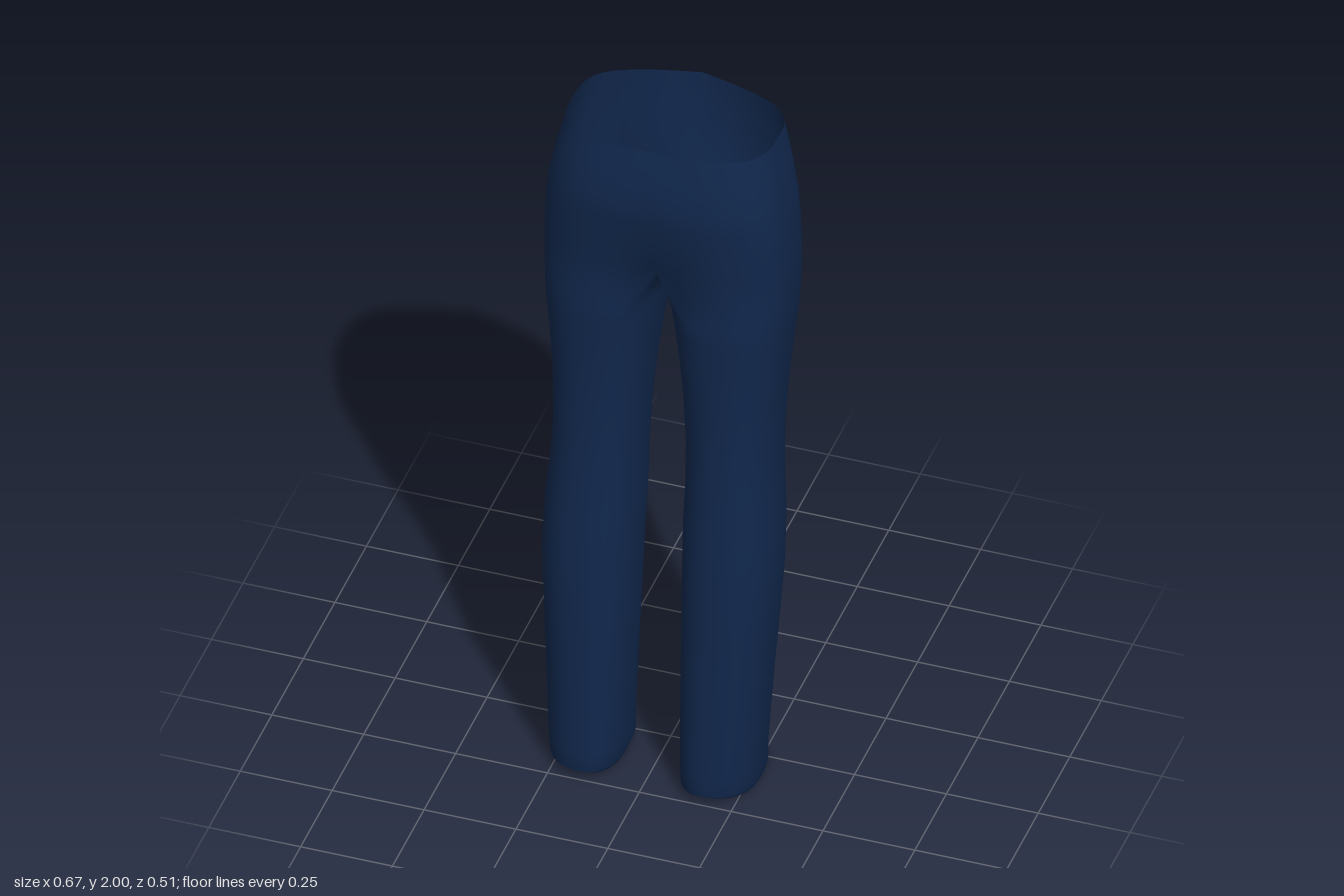
import * as THREE from 'three';
import { mergeGeometries, mergeVertices } from 'three/addons/utils/BufferGeometryUtils.js';

const OUT = 28; // segments around the outer arc, from front seam to back seam
const INN = 12; // segments around the inside of the leg
const cloth = new THREE.MeshStandardMaterial({ color: 0x10264a, side: THREE.DoubleSide });
cloth.name = 'navyCloth';

const spow = (v, p) => Math.sign(v) * Math.pow(Math.abs(v), p);

// Leg sections: height, outer x, inner x, front z, back z, skew of the front
const LEGS = [
  [0.0, 0.275, 0.09, 0.24, -0.068, 0.15],
  [0.025, 0.281, 0.08, 0.25, -0.06, 0.15],
  [0.08, 0.284, 0.077, 0.247, -0.046, 0.12],
  [0.3, 0.295, 0.073, 0.236, -0.066, 0.08],
  [0.5, 0.307, 0.069, 0.223, -0.086, 0.04],
  [0.65, 0.315, 0.066, 0.214, -0.1, 0],
  [0.8, 0.313, 0.063, 0.197, -0.116, 0],
  [0.92, 0.303, 0.065, 0.182, -0.13, 0],
  [1.05, 0.299, 0.062, 0.17, -0.146, 0],
  [1.2, 0.305, 0.05, 0.163, -0.166, 0],
  [1.32, 0.316, 0.035, 0.162, -0.18, 0],
  [1.42, 0.327, 0.02, 0.163, -0.192, 0],
  [1.48, 0.331, 0.009, 0.164, -0.198, 0],
];

// Hip sections: height, outer x, front z, back z, seam offset in front, seam offset behind
const HIPS = [
  [1.55, 0.333, 0.166, -0.204, -0.055, 0.08],
  [1.63, 0.332, 0.17, -0.207, -0.03, 0.055],
  [1.72, 0.328, 0.174, -0.21, -0.012, 0.025],
  [1.79, 0.321, 0.177, -0.212, -0.002, 0],
  [1.85, 0.311, 0.178, -0.213, 0, -0.017],
  [1.92, 0.297, 0.161, -0.215, 0, -0.028],
  [1.96, 0.287, 0.15, -0.215, 0, -0.034],
  [2.0, 0.278, 0.139, -0.215, 0, -0.039],
];

// Closed leg ring: outer arc from front to back, then the inner arc forward again
function legRing([y, outer, inner, front, back, skew]) {
  const cx = (outer + inner) / 2, rx = (outer - inner) / 2;
  const cz = (front + back) / 2, rz = (front - back) / 2;
  const ring = [];
  for (let k = 0; k <= OUT + INN; k++) {
    const deg = k <= OUT ? 130 - 260 * k / OUT : -130 - 100 * (k - OUT) / INN;
    const a = deg * Math.PI / 180;
    const x = cx + rx * spow(Math.cos(a), 0.84);
    const s = spow(Math.sin(a), 0.84);
    const lift = y < 0.03 ? 0.02 * Math.max(0, s) ** 2 * (1 - y / 0.03) : 0;
    ring.push([x, y + lift, cz + rz * s - skew * (x - cx) * Math.max(0, s)]);
  }
  return ring;
}

// Open hip ring: from the front centre seam round the side to the back seam
function hipRing([y, outer, front, back, seamFront, seamBack], index) {
  const cz = (front + back) / 2, rz = (front - back) / 2;
  const ring = [];
  for (let k = 0; k <= OUT; k++) {
    const a = Math.PI / 2 - Math.PI * k / OUT;
    const c = Math.max(0, Math.cos(a));
    const x = k === 0 || k === OUT ? 0 : outer * Math.pow(c, 2 / 3);
    const near = Math.pow(Math.max(0, 1 - x / 0.2), 1.3);
    const z = cz + rz * spow(Math.sin(a), 2 / 3) + near * (a > 0 ? seamFront : seamBack);
    const rise = index === 0 ? 0.04 * Math.max(0, 1 - x / 0.1) : 0;
    const tilt = Math.max(0, (y - 1.85) / 0.15) * 0.025 * (front - z) / 0.39;
    ring.push([x, y + rise - tilt, z]);
  }
  return ring;
}

// Crotch ring: lowest hip ring closed by a saddle along the centre plane
function crotchRing(hip) {
  const ring = hip.slice();
  const [, yEnd, zBack] = hip[OUT];
  const zFront = hip[0][2];
  for (let k = 1; k <= INN; k++) {
    const t = k / INN;
    ring.push([0, yEnd - 0.065 * 4 * t * (1 - t), zBack + (zFront - zBack) * t]);
  }
  return ring;
}

// Joins rings listed in order into a surface; side -1 mirrors it
function skin(strips, side) {
  const pos = [], idx = [];
  for (const rings of strips) {
    const base = pos.length / 3, n = rings[0].length;
    for (const ring of rings) for (const [x, y, z] of ring) pos.push(x * side, y, z);
    for (let j = 0; j < rings.length - 1; j++) {
      for (let k = 0; k < n - 1; k++) {
        const a = base + j * n + k, b = a + 1, c = a + n, d = c + 1;
        if (side > 0) idx.push(a, b, c, b, d, c);
        else idx.push(a, c, b, b, c, d);
      }
    }
  }
  const g = new THREE.BufferGeometry();
  g.setAttribute('position', new THREE.Float32BufferAttribute(pos, 3));
  g.setIndex(idx);
  return g;
}

function weld(parts) {
  const g = mergeVertices(mergeGeometries(parts), 1e-4);
  g.computeVertexNormals();
  return g;
}

export function createModel() {
  const group = new THREE.Group();
  group.name = 'trousers';
  const add = (name, geometry) => {
    const mesh = new THREE.Mesh(geometry, cloth);
    mesh.name = name;
    group.add(mesh);
  };

  // Outer cloth: both legs and the hips as one smooth surface
  const hips = HIPS.map(hipRing);
  const legs = [...LEGS.map(legRing), crotchRing(hips[0])];
  add('legsAndHips', weld([1, -1].map((side) => skin([legs, hips], side))));

  // Hem linings turned up inside each leg, narrowing to the ankle opening
  const lining = [
    legRing([0.16, 0.241, 0.124, 0.1, -0.03, 0]),
    legRing([0.07, 0.262, 0.1, 0.2, -0.035, 0.1]),
    legRing(LEGS[0]),
  ];
  for (const [name, side] of [['leftHemLining', 1], ['rightHemLining', -1]]) {
    add(name, weld([skin([lining], side)]));
  }
  return group;
}
